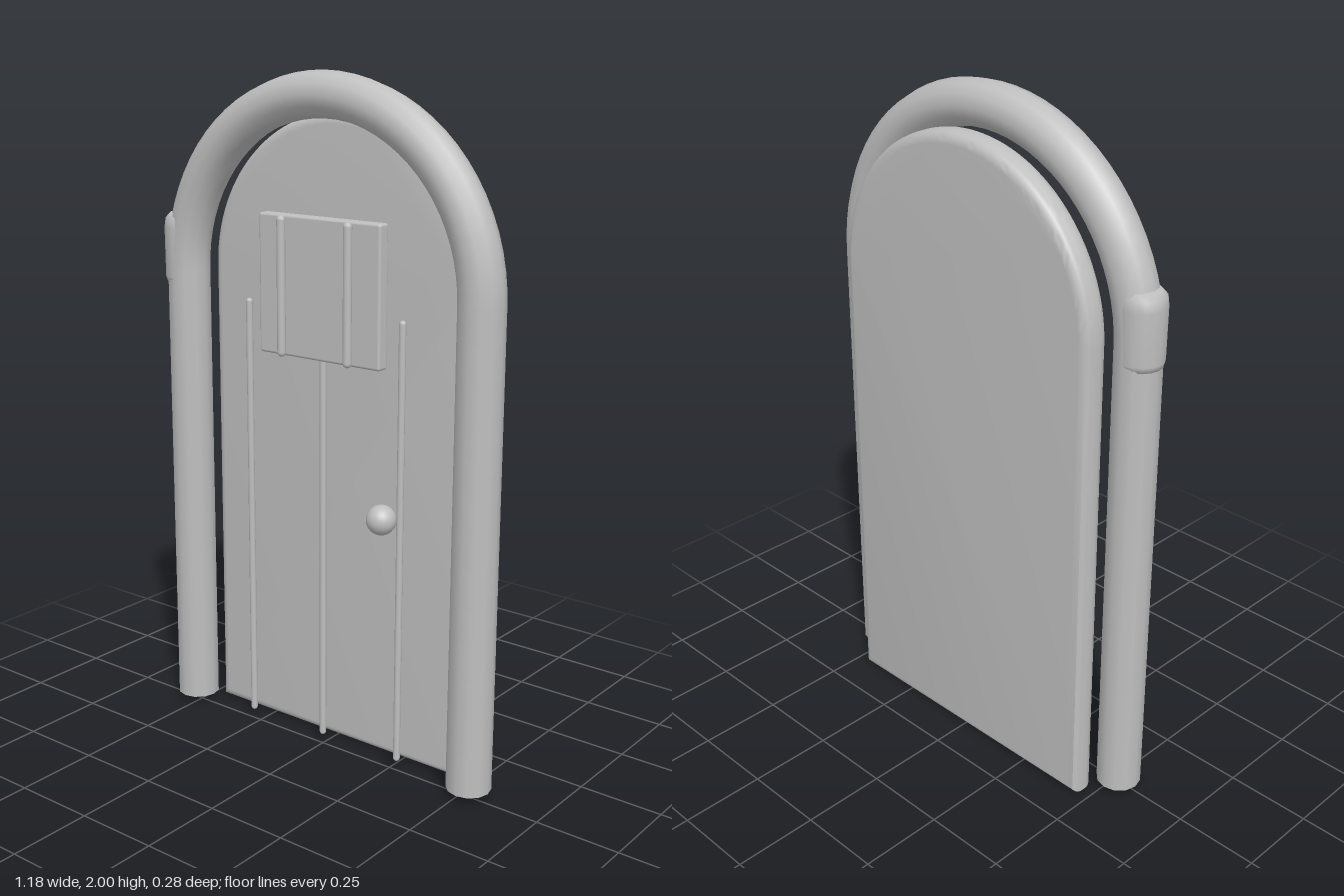
import * as THREE from 'three';
import { toCreasedNormals } from 'three/addons/utils/BufferGeometryUtils.js';
import { RoundedBoxGeometry } from 'three/addons/geometries/RoundedBoxGeometry.js';

// Centre line of the arched frame: up one leg, round the top, down the other
class ArchCurve extends THREE.Curve {
  constructor(radius, bottom, spring) {
    super();
    Object.assign(this, { radius, bottom, spring });
  }
  getPoint(t, target = new THREE.Vector3()) {
    const leg = this.spring - this.bottom;
    const arc = Math.PI * this.radius;
    const d = t * (2 * leg + arc);
    if (d < leg) return target.set(-this.radius, this.bottom + d, 0);
    if (d > leg + arc) return target.set(this.radius, this.spring - (d - leg - arc), 0);
    const a = Math.PI - (d - leg) / this.radius;
    return target.set(this.radius * Math.cos(a), this.spring + this.radius * Math.sin(a), 0);
  }
}

export function createModel() {
  const model = new THREE.Group();
  model.name = 'archedDoor';
  const grey = new THREE.MeshStandardMaterial({ color: 0xbfbfbf, side: THREE.DoubleSide });
  grey.name = 'plain grey';

  const add = (name, geometry, x, y, z) => {
    const mesh = new THREE.Mesh(geometry, grey);
    mesh.name = name;
    mesh.position.set(x, y, z);
    model.add(mesh);
    return mesh;
  };
  // Thin upright bar with rounded ends
  const bar = (name, x, y0, y1, z, r) =>
    add(name, new THREE.CapsuleGeometry(r, y1 - y0 - 2 * r, 4, 10), x, (y0 + y1) / 2, z);

  // Frame: open-ended pipe bent into an arch
  const arch = new ArchCurve(0.521, 0.025, 1.414);
  add('frame', new THREE.TubeGeometry(arch, 96, 0.065, 12, false), 0, 0, -0.008);

  // Collar: rounded sleeve on the right leg where the arch begins
  const collar = [[0, 0], [0.045, 0], [0.06, 0.008], [0.065, 0.025], [0.066, 0.17],
    [0.062, 0.2], [0.048, 0.215], [0, 0.22]].map(([x, y]) => new THREE.Vector2(x, y));
  add('collar', new THREE.LatheGeometry(collar, 16), -0.528, 1.36, -0.008);

  // Door leaf: round-topped slab with soft edges
  const bevel = 0.03, half = 0.467 - bevel;
  const outline = new THREE.Shape();
  outline.moveTo(-half, bevel);
  outline.lineTo(half, bevel);
  outline.lineTo(half, 1.418);
  outline.absarc(0, 1.418, half, 0, Math.PI, false);
  outline.closePath();
  const leaf = new THREE.ExtrudeGeometry(outline, {
    depth: 0.022, bevelThickness: bevel, bevelSize: bevel, bevelSegments: 5, curveSegments: 40,
  });
  add('doorLeaf', toCreasedNormals(leaf, 0.7), 0, 0, -0.112);

  // Plank seams standing in front of the leaf
  for (const x of [-0.275, 0, 0.275]) bar('plankSeam', x, 0.03, x ? 1.345 : 1.22, 0, 0.01);

  // Window panel with two bars
  add('windowPanel', new RoundedBoxGeometry(0.43, 0.405, 0.04, 2, 0.008), 0, 1.4, 0.005);
  for (const x of [-0.118, 0.118]) bar('windowBar', x, 1.198, 1.602, 0.042, 0.0125);

  // Knob
  add('knob', new THREE.SphereGeometry(0.0425, 24, 16), 0.283, 0.805, 0.1);

  return model;
}
